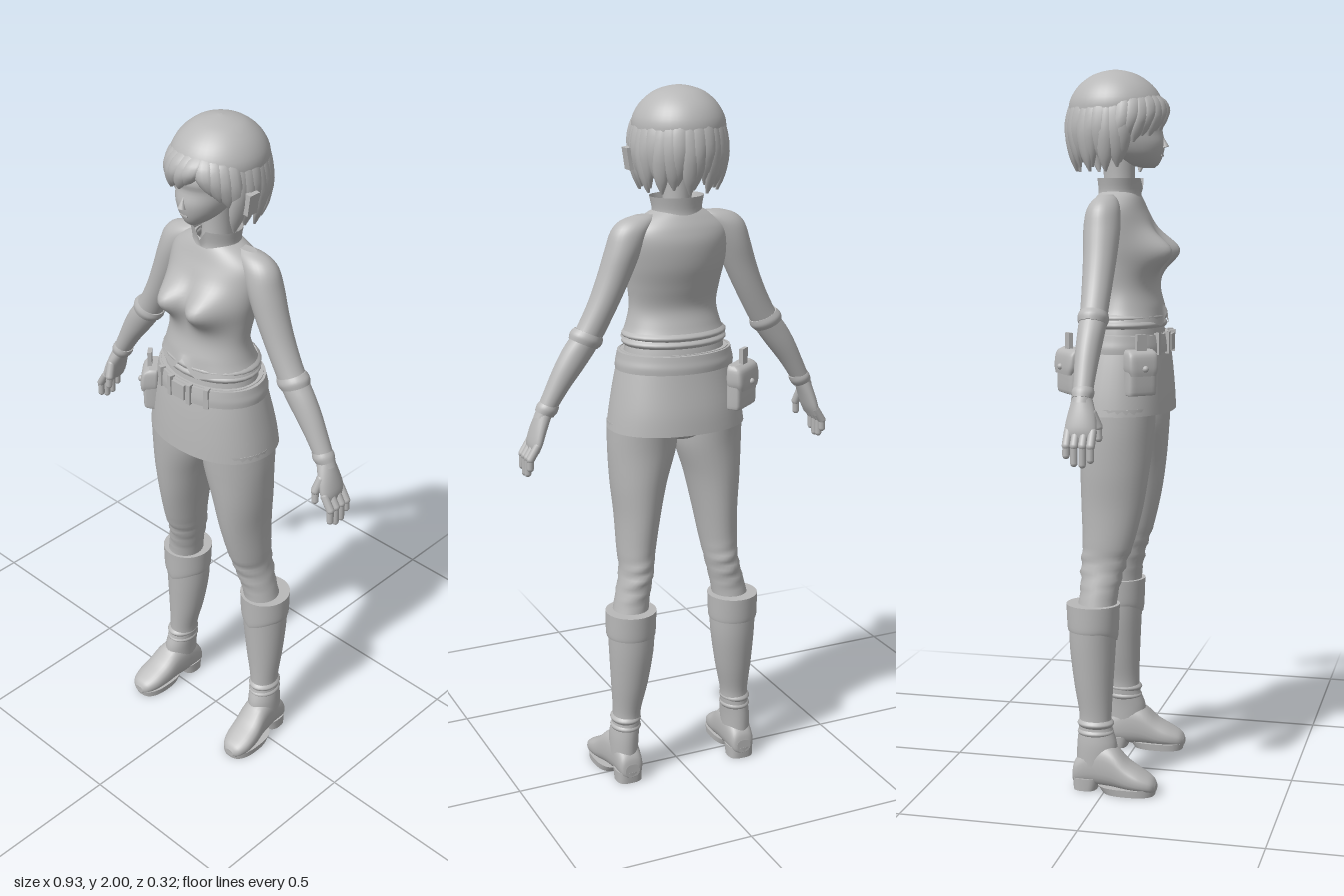
import * as THREE from 'three';

const grey = new THREE.MeshStandardMaterial({ color: 0xb8b8b8, side: THREE.DoubleSide });
grey.name = 'plain grey';

// Cubic blend between neighbouring cross-sections
const cubic = (a, b, c, d, t) => b + 0.5 * t * (c - a + t * (2 * a - 5 * b + 4 * c - d + t * (3 * (b - c) + d - a)));

// Skin over rings [y, centre x, half width, front z, back z], listed from low y to high y
function loft(rings, { seg = 28, sub = 4, power = 1, cap = true, side = 1, adjust } = {}) {
  const rows = [];
  const last = rings.length - 1;
  for (let i = 0; i < last; i++) {
    for (let k = 0; k < sub; k++) {
      rows.push(rings[i].map((v, n) => cubic(rings[Math.max(i - 1, 0)][n], v, rings[i + 1][n], rings[Math.min(i + 2, last)][n], k / sub)));
    }
  }
  rows.push(rings[last]);
  const pos = [], index = [];
  const bend = (v) => Math.sign(v) * Math.abs(v) ** power;
  const addRow = ([y, x, w, zf, zb]) => {
    for (let j = 0; j < seg; j++) {
      const a = (j / seg) * Math.PI * 2;
      const p = new THREE.Vector3(x * side + Math.max(w, 0.001) * bend(Math.sin(a)), y, (zf + zb) / 2 + ((zf - zb) / 2) * bend(Math.cos(a)));
      if (adjust) adjust(p, x * side);
      pos.push(p.x, p.y, p.z);
    }
  };
  rows.forEach(addRow);
  for (let i = 0; i < rows.length - 1; i++) {
    for (let j = 0; j < seg; j++) {
      const a = i * seg + j, b = i * seg + (j + 1) % seg;
      index.push(a, b, b + seg, a, b + seg, a + seg);
    }
  }
  if (cap) {
    for (const [row, up] of [[rows[0], false], [rows[rows.length - 1], true]]) {
      const start = pos.length / 3;
      addRow(row);
      const mid = pos.length / 3;
      pos.push(row[1] * side, row[0], (row[3] + row[4]) / 2);
      for (let j = 0; j < seg; j++) {
        const a = start + j, b = start + (j + 1) % seg;
        if (up) index.push(a, b, mid); else index.push(b, a, mid);
      }
    }
  }
  const g = new THREE.BufferGeometry();
  g.setAttribute('position', new THREE.Float32BufferAttribute(pos, 3));
  g.setIndex(index);
  g.computeVertexNormals();
  return g;
}

function add(parent, name, geometry, x = 0, y = 0, z = 0) {
  const m = new THREE.Mesh(geometry, grey);
  m.name = name;
  m.position.set(x, y, z);
  parent.add(m);
  return m;
}

// Rounded rod between two points
function rod(parent, name, a, b, r) {
  const p = new THREE.Vector3(...a), q = new THREE.Vector3(...b);
  const d = q.clone().sub(p);
  const m = add(parent, name, new THREE.CapsuleGeometry(r, d.length(), 4, 10));
  m.position.copy(p).add(q).multiplyScalar(0.5);
  m.quaternion.setFromUnitVectors(new THREE.Vector3(0, 1, 0), d.normalize());
}

function buildBody(root) {
  // Jacket: chest bulges and a hem notched at the front
  add(root, 'jacket', loft([
    [1.315, 0, .153, .13, -.092], [1.35, 0, .138, .121, -.076], [1.40, 0, .128, .108, -.062], [1.46, 0, .134, .106, -.076],
    [1.52, 0, .144, .102, -.092], [1.58, 0, .15, .085, -.096], [1.62, 0, .142, .068, -.086], [1.65, 0, .105, .056, -.07], [1.672, 0, .06, .045, -.055],
  ], { seg: 64, sub: 6, cap: false, adjust: (p) => {
    if (p.z > 0) p.z += .06 * Math.exp(-(((Math.abs(p.x) - .06) / .052) ** 2) - (((p.y - 1.505) / .048) ** 2));
    const hem = Math.max(0, 1 - (p.y - 1.315) / .04);
    if (p.z > 0) p.y += hem * (.03 * Math.exp(-((p.x / .02) ** 2)) - .015 * Math.exp(-(((Math.abs(p.x) - .05) / .03) ** 2)));
  } }));
  add(root, 'waist', loft([[1.24, 0, .152, .125, -.098], [1.3, 0, .142, .118, -.085], [1.36, 0, .125, .108, -.065]]));
  for (const y of [1.305, 1.325]) {
    add(root, 'waistFold', loft([[y - .01, 0, .146, .123, -.092], [y, 0, .153, .127, -.097], [y + .01, 0, .144, .12, -.087]], { cap: false }));
  }
  // Skirt, hips and belt
  add(root, 'skirt', loft([[1.06, 0, .2, .15, -.14], [1.12, 0, .191, .147, -.133], [1.2, 0, .175, .14, -.116], [1.28, 0, .155, .129, -.1]],
    { seg: 48, cap: false, power: .92 }));
  add(root, 'hips', loft([[1.03, 0, .05, .06, -.07], [1.075, 0, .16, .115, -.11], [1.2, 0, .155, .115, -.1]]));
  add(root, 'belt', loft([[1.228, 0, .172, .143, -.117], [1.245, 0, .172, .143, -.117], [1.262, 0, .168, .141, -.113], [1.278, 0, .165, .138, -.11]], { seg: 48 }));
  for (const x of [-.085, -.035, .035, .085]) {
    add(root, 'beltLoop', new THREE.BoxGeometry(.014, .06, .016), x, 1.253, .141 * Math.sqrt(1 - (x / .17) ** 2)).rotation.y = x * 4;
  }
  add(root, 'buckle', new THREE.BoxGeometry(.045, .045, .012), 0, 1.253, .142);
  // Belt pouches on the right hip
  for (const [name, x, z, turn, w] of [['frontPouch', -.158, .088, -.85, .085], ['backPouch', -.15, -.105, Math.PI + .65, .115]]) {
    const pouch = new THREE.Group();
    pouch.name = name;
    pouch.position.set(x, 1.185, z);
    pouch.rotation.y = turn;
    add(pouch, 'pouchBag', loft([[-.066, 0, w * .46, .018, -.02], [-.055, 0, w * .5, .026, -.02], [.03, 0, w * .5, .024, -.02], [.05, 0, w * .46, .012, -.02]], { power: .4 }));
    add(pouch, 'pouchFlap', loft([[-.012, 0, w * .46, .033, -.018], [.01, 0, w * .53, .034, -.02], [.045, 0, w * .52, .028, -.02], [.058, 0, w * .45, .01, -.018]], { power: .4 }));
    add(pouch, 'pouchButton', new THREE.SphereGeometry(.009, 12, 8), 0, .008, .034);
    add(pouch, 'pouchStrap', new THREE.BoxGeometry(.03, .05, .012), 0, .075, .008);
    root.add(pouch);
  }
  // Neck and standing collar with a front notch
  add(root, 'neck', loft([[1.6, 0, .045, .042, -.05], [1.7, 0, .039, .036, -.05], [1.8, 0, .042, .04, -.055]]));
  add(root, 'collar', loft([[1.635, 0, .08, .06, -.072], [1.665, 0, .07, .054, -.064], [1.705, 0, .077, .06, -.067]], {
    seg: 48, cap: false, adjust: (p) => { if (p.z > 0) p.y -= .03 * Math.max(0, 1 - Math.abs(p.x) / .02) * (p.y - 1.635) / .07; },
  }));
}

function buildArm(root, side) {
  const arm = new THREE.Group();
  arm.name = side > 0 ? 'leftArm' : 'rightArm';
  root.add(arm);
  add(arm, 'sleeve', loft([
    [1.13, .402, .026, .015, -.035], [1.2, .362, .034, .018, -.041], [1.26, .324, .044, .022, -.046], [1.31, .291, .048, .025, -.048],
    [1.36, .258, .044, .025, -.05], [1.43, .221, .044, .028, -.055], [1.5, .19, .047, .032, -.06], [1.57, .163, .051, .034, -.066],
    [1.62, .142, .055, .028, -.062], [1.647, .12, .05, .015, -.048], [1.66, .1, .03, -.002, -.03],
  ], { side }));
  // Slanted glove band and wrist band
  for (const [y, x, w, zf, zb] of [[1.335, .274, .043, .03, -.054], [1.15, .39, .027, .02, -.04]]) {
    add(arm, 'gloveBand', loft([[y - .014, x + .009, w * .9, zf - .004, zb + .004], [y, x, w, zf, zb], [y + .014, x - .009, w * .9, zf - .004, zb + .004]],
      { side, adjust: (p, cx) => { p.y += .45 * side * (p.x - cx); } }));
  }
  add(arm, 'palm', loft([[1.035, .433, .012, .032, -.046], [1.06, .427, .019, .036, -.05], [1.1, .414, .022, .03, -.044], [1.145, .396, .024, .014, -.034]], { side }));
  // Fingers and thumb
  [[.026, .985], [.004, .972], [-.018, .975], [-.039, .995]].forEach(([z, tip]) => {
    rod(arm, 'finger', [side * .43, 1.055, z], [side * .452, 1.02, z], .0115);
    rod(arm, 'fingertip', [side * .452, 1.02, z], [side * .453, tip, z], .0098);
  });
  rod(arm, 'thumb', [side * .41, 1.1, .02], [side * .404, 1.065, .034], .0125);
  rod(arm, 'thumbTip', [side * .404, 1.065, .034], [side * .406, 1.035, .036], .01);
}

function buildLeg(root, side) {
  const leg = new THREE.Group();
  leg.name = side > 0 ? 'leftLeg' : 'rightLeg';
  root.add(leg);
  add(leg, 'trouserLeg', loft([
    [.5, .163, .053, .022, -.09], [.56, .152, .05, .026, -.082], [.64, .135, .048, .045, -.083], [.7, .13, .053, .066, -.08],
    [.8, .122, .063, .09, -.085], [.9, .115, .079, .105, -.089], [1.0, .102, .097, .115, -.093], [1.08, .1, .098, .12, -.102],
  ], { side, adjust: (p) => { // folds around the knee
    const f = Math.exp(-(((p.y - .62) / .05) ** 2));
    p.z += .004 * f * Math.sin(p.y * 150 + p.x * 40);
  }, sub: 6 }));
  add(leg, 'bootShaft', loft([
    [.07, .184, .04, .03, -.085], [.13, .182, .041, .03, -.084], [.18, .176, .04, .014, -.08], [.22, .174, .041, .012, -.08],
    [.3, .168, .053, .015, -.095], [.4, .163, .064, .02, -.108], [.48, .162, .068, .024, -.111], [.525, .162, .068, .026, -.112],
  ], { side }));
  for (const y of [.165, .19]) {
    add(leg, 'ankleFold', loft([[y - .01, .178, .038, .014, -.078], [y, .178, .044, .02, -.084], [y + .01, .177, .038, .012, -.078]], { side }));
  }
  // Cuff with a pointed front
  add(leg, 'bootCuff', loft([[.455, .163, .07, .026, -.113], [.47, .163, .072, .029, -.115], [.53, .162, .073, .032, -.118]], {
    side, seg: 48, adjust: (p, cx) => { if (p.z > -.04 && p.y < .5) p.y -= .028 * Math.max(0, 1 - Math.abs(p.x - cx) / .06) * (.5 - p.y) / .045; },
  }));
  // Shoe lies along z
  add(leg, 'shoe', loft([
    [-.094, .182, .022, -.02, -.06], [-.083, .182, .035, -.014, -.09], [-.03, .183, .041, -.012, -.135], [.02, .188, .045, -.012, -.13],
    [.065, .194, .048, -.01, -.09], [.105, .198, .046, -.01, -.066], [.135, .2, .034, -.01, -.048], [.147, .2, .016, -.012, -.032],
  ], { side, power: .8 }).rotateX(Math.PI / 2));
  add(leg, 'sole', loft([[0, .196, .046, .143, -.005], [.02, .196, .048, .147, -.02]], { side, power: .8 }));
  add(leg, 'heel', loft([[0, .183, .038, -.025, -.092], [.035, .183, .039, -.015, -.095]], { side, power: .7 }));
}

function buildHead(root) {
  const head = new THREE.Group();
  head.name = 'head';
  root.add(head);
  add(head, 'face', loft([
    [1.732, 0, .012, .093, .06], [1.745, 0, .034, .107, .01], [1.77, 0, .058, .117, -.03], [1.80, 0, .073, .121, -.06],
    [1.835, 0, .082, .114, -.08], [1.87, 0, .088, .118, -.1], [1.95, 0, .075, .08, -.09],
  ]));
  add(head, 'nose', new THREE.ConeGeometry(.011, .035, 10), 0, 1.805, .119).rotation.x = -.25;
  add(head, 'mouth', new THREE.BoxGeometry(.026, .004, .008), 0, 1.766, .113);
  // Crown of the hair
  add(head, 'hairCrown', loft([
    [1.865, 0, .125, .112, -.148], [1.91, 0, .125, .114, -.146], [1.95, 0, .105, .092, -.125], [1.98, 0, .072, .055, -.09], [1.994, 0, .037, .02, -.055], [2, 0, .004, -.014, -.022],
  ], { seg: 40 }));
  // One tapered lock, hanging at an angle measured from the front
  const lock = (name, angle, bottom, w, lean = 0, tuck = .012) => {
    const r = 1 / Math.hypot(Math.sin(angle) / .132, Math.cos(angle) / .142);
    const y = (t) => bottom + (1.93 - bottom) * t;
    const m = add(head, name, loft([
      [bottom, lean, .003, r - tuck - .004, r - tuck - .012], [y(.2), lean * .75, w * .72, r - tuck * .3, r - .03], [y(.5), lean * .35, w, r + .005, r - .03],
      [y(.8), lean * .1, w, r - .004, r - .035], [1.93, 0, w * .8, r - .024, r - .05],
    ], { seg: 12, sub: 3 }), 0, 0, -.013);
    m.rotation.y = angle;
  };
  // Bob around the sides and back
  for (let i = 0; i <= 20; i++) {
    const a = 1.2 + (i / 20) * (2 * Math.PI - 2.4);
    lock('hairLock', a, 1.722 + .012 * (i % 3), .027, .006 * (i % 2 ? 1 : -1), .022);
  }
  // Swept fringe, parted on the left
  [-1.12, -.92, -.72, -.52, -.32, -.12, .08, .26].forEach((a, i) => lock('fringeLock', a, 1.785 + .008 * i + (i % 2) * .008, .027, -.03));
  [.42, .6, .78, .98].forEach((a, i) => lock('fringeLock', a, 1.835 - .018 * i, .027, .025));
  add(head, 'hairClip', new THREE.BoxGeometry(.022, .06, .035), .132, 1.81, .01).rotation.z = -.15;
}

export function createModel() {
  const root = new THREE.Group();
  root.name = 'figure';
  buildBody(root);
  for (const side of [1, -1]) {
    buildArm(root, side);
    buildLeg(root, side);
  }
  buildHead(root);
  return root;
}
